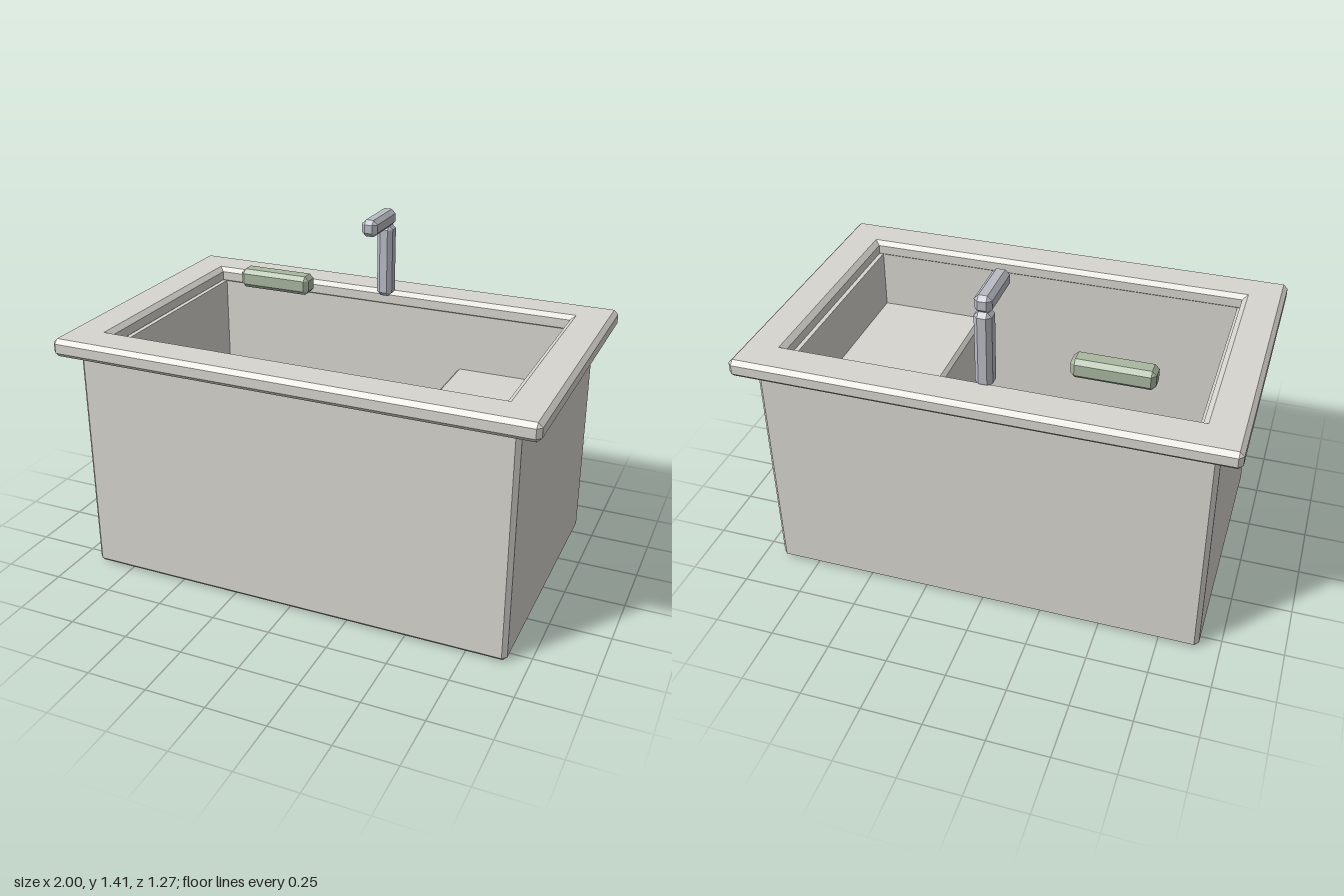
import * as THREE from 'three';

const material = (color) => new THREE.MeshStandardMaterial({ color, flatShading: true });

// Rectangle with chamfered corners, counter-clockwise seen from above
function rectLoop([hx, hz, y, c]) {
  return [
    [hx, hz - c], [hx, c - hz], [hx - c, -hz], [c - hx, -hz],
    [-hx, c - hz], [-hx, hz - c], [c - hx, hz], [hx - c, hz],
  ].map(([x, z]) => new THREE.Vector3(x, y, z));
}

// Skin a list of [halfX, halfZ, y, cornerChamfer] sections; capped at both ends unless closed
function loft(sections, closed = false) {
  const loops = sections.map(rectLoop);
  const positions = [];
  const tri = (a, b, c) => {
    if (new THREE.Triangle(a, b, c).getArea() < 1e-9) return;
    for (const p of [a, b, c]) positions.push(p.x, p.y, p.z);
  };
  const n = loops.length;
  for (let i = 0; i < (closed ? n : n - 1); i++) {
    const low = loops[i], high = loops[(i + 1) % n];
    for (let j = 0; j < 8; j++) {
      const k = (j + 1) % 8;
      tri(low[j], low[k], high[k]);
      tri(low[j], high[k], high[j]);
    }
  }
  if (!closed) {
    const first = loops[0], last = loops[n - 1];
    for (let j = 1; j < 7; j++) {
      tri(first[0], first[j + 1], first[j]);
      tri(last[0], last[j], last[j + 1]);
    }
  }
  const geometry = new THREE.BufferGeometry();
  geometry.setAttribute('position', new THREE.Float32BufferAttribute(positions, 3));
  geometry.computeVertexNormals();
  return geometry;
}

// Box between two corners with every edge chamfered by c
function chamferBox(min, max, c) {
  const hx = (max[0] - min[0]) / 2, hz = (max[2] - min[2]) / 2;
  return loft([
    [hx - c, hz - c, min[1], 0],
    [hx, hz, min[1] + c, c],
    [hx, hz, max[1] - c, c],
    [hx - c, hz - c, max[1], 0],
  ]).translate((min[0] + max[0]) / 2, 0, (min[2] + max[2]) / 2);
}

export function createModel() {
  const model = new THREE.Group();
  model.name = 'bathtub';
  const stone = material(0xd8d6cf);
  const metal = material(0xb9bcc4);
  const green = material(0xa9b7a0);

  const add = (name, geometry, mat, parent = model) => {
    const mesh = new THREE.Mesh(geometry, mat);
    mesh.name = name;
    parent.add(mesh);
  };

  // Hollow basin: underside, outer walls, inner walls, floor
  add('basin', loft([
    [0.897, 0.552, 0, 0],
    [0.915, 0.57, 0.018, 0.018],
    [0.915, 0.57, 0.98, 0.018],
    [0.812, 0.468, 0.98, 0],
    [0.812, 0.468, 0.1, 0],
  ]), stone);

  // Overhanging frame with chamfered outer and inner edges
  add('rim', loft([
    [0.982, 0.615, 0.965, 0],
    [1, 0.633, 0.983, 0.018],
    [1, 0.633, 1.022, 0.018],
    [0.982, 0.615, 1.04, 0],
    [0.85, 0.483, 1.04, 0],
    [0.828, 0.463, 1.022, 0],
    [0.828, 0.463, 0.983, 0],
    [0.85, 0.483, 0.965, 0],
  ], true), stone);

  // Seat block spanning the left end, its ends buried in the walls
  add('seat', chamferBox([0.338, 0.05, -0.5], [0.86, 0.72, 0.5], 0.016), stone);

  // Faucet
  const faucet = new THREE.Group();
  faucet.name = 'faucet';
  model.add(faucet);
  add('faucetPost', chamferBox([-0.035, 1.025, -0.493], [0.035, 1.346, -0.42], 0.018), metal, faucet);
  add('faucetSpout', chamferBox([-0.035, 1.34, -0.486], [0.035, 1.412, -0.244], 0.018), metal, faucet);

  // Soap bar
  add('soapBar', chamferBox([-0.625, 1.035, -0.348], [-0.295, 1.118, -0.26], 0.018), green);

  return model;
}
